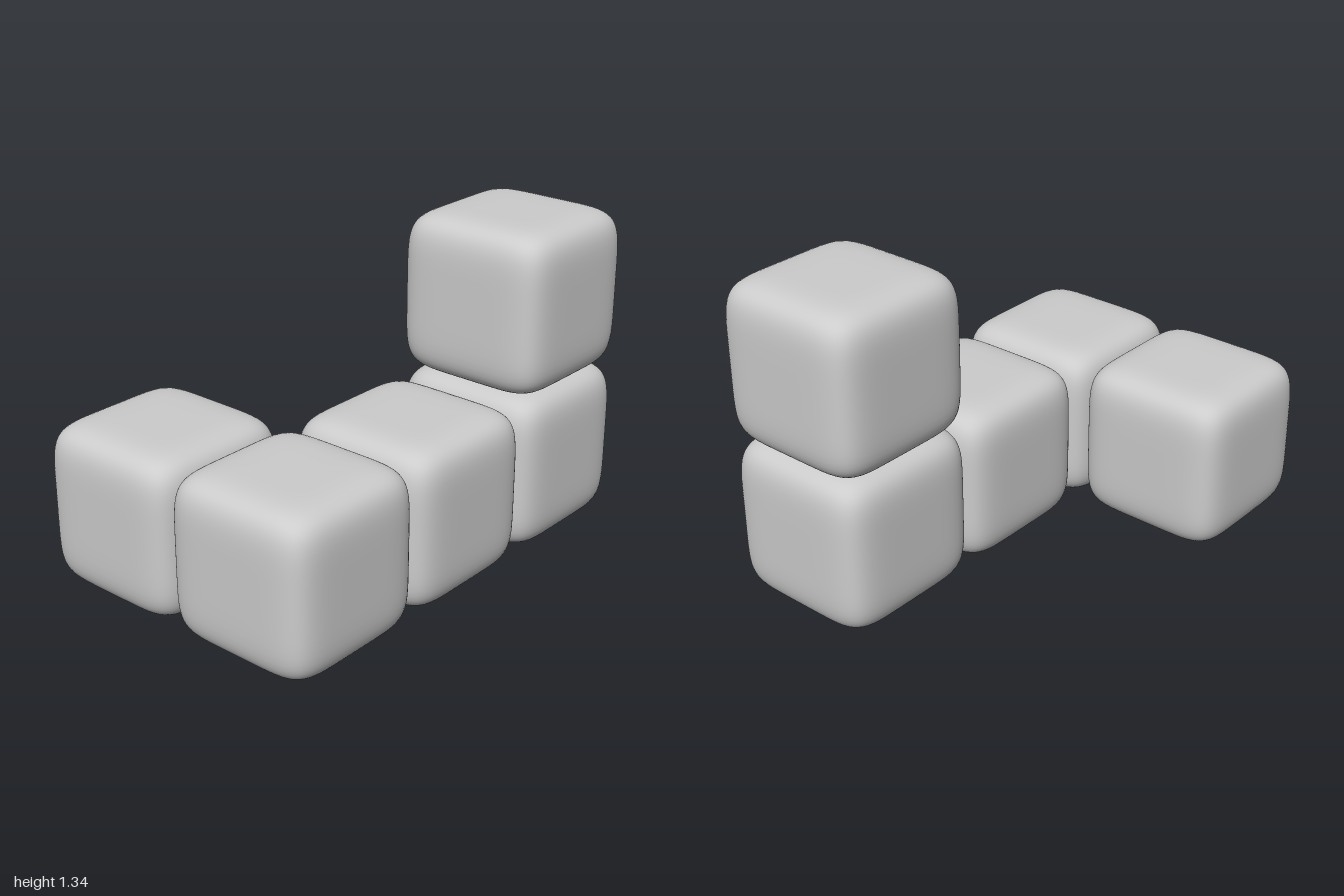
import * as THREE from 'three';

const SIZE = 0.675;    // full width of one block
const PITCH = 0.6625;  // spacing between block centres (blocks touch and overlap slightly)
const POWER = 6;       // superellipsoid exponent: higher is boxier

// Softly pillowed cube: a subdivided box projected onto a superellipsoid
function pillowCube() {
  const geo = new THREE.BoxGeometry(2, 2, 2, 24, 24, 24);
  const pos = geo.attributes.position;
  const p = new THREE.Vector3();
  const n = new THREE.Vector3();
  const warp = (t) => Math.sin(t * Math.PI / 2); // gather vertices near the edges
  for (let i = 0; i < pos.count; i++) {
    p.set(warp(pos.getX(i)), warp(pos.getY(i)), warp(pos.getZ(i)));
    const len = (p.x ** POWER + p.y ** POWER + p.z ** POWER) ** (1 / POWER);
    p.divideScalar(len);
    n.set(p.x ** (POWER - 1), p.y ** (POWER - 1), p.z ** (POWER - 1)).normalize();
    p.multiplyScalar(SIZE / 2);
    pos.setXYZ(i, p.x, p.y, p.z);
    geo.attributes.normal.setXYZ(i, n.x, n.y, n.z);
  }
  return geo;
}

export function createModel() {
  const model = new THREE.Group();
  model.name = 'blockPiece';
  const geometry = pillowCube();
  const material = new THREE.MeshStandardMaterial({ color: 0xcccccc });

  // Grid cells: column, layer, row (row 0 is the front, row 1 the back)
  const cells = {
    rightBlock: [-1, 0, 0],
    middleBlock: [0, 0, 0],
    leftBlock: [1, 0, 0],
    upperBlock: [1, 1, 0],
    backBlock: [-1, 0, 1],
  };
  for (const [name, [column, layer, row]] of Object.entries(cells)) {
    const block = new THREE.Mesh(geometry, material);
    block.name = name;
    block.position.set(column * PITCH, SIZE / 2 + layer * PITCH, (0.5 - row) * PITCH);
    model.add(block);
  }
  return model;
}
